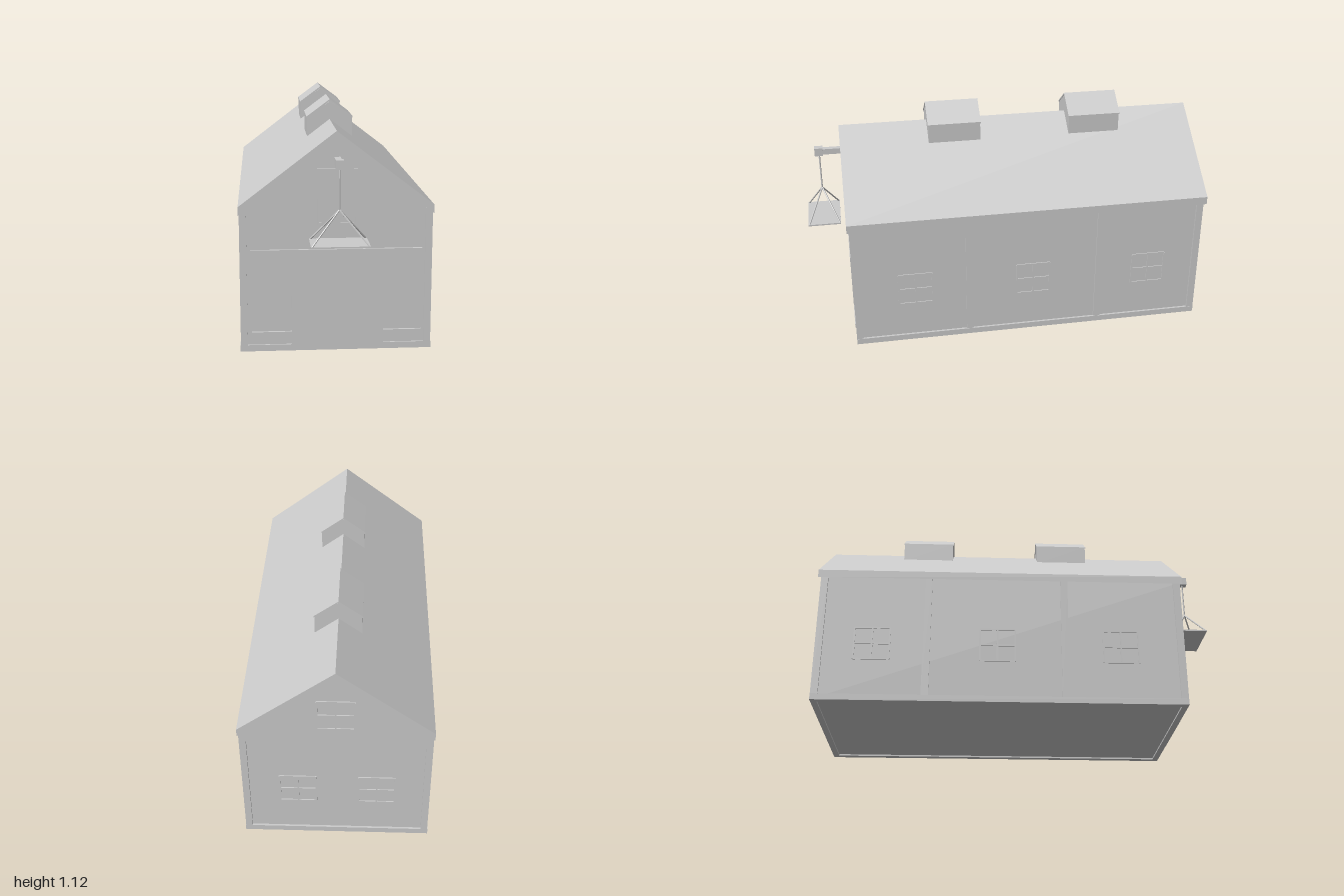
import * as THREE from 'three';

const mat = new THREE.MeshStandardMaterial({ color: 0xcccccc, flatShading: true });
const FRONT = 0.8, BACK = -0.985, HALF = 0.443, MID = (FRONT + BACK) / 2, LEN = FRONT - BACK;

function add(parent, name, geometry) {
  const mesh = new THREE.Mesh(geometry, mat);
  mesh.name = name;
  parent.add(mesh);
  return mesh;
}

// Box given by its lower and upper limits
function box(parent, name, x0, x1, y0, y1, z0, z1) {
  const mesh = add(parent, name, new THREE.BoxGeometry(x1 - x0, y1 - y0, z1 - z0));
  mesh.position.set((x0 + x1) / 2, (y0 + y1) / 2, (z0 + z1) / 2);
  return mesh;
}

// Outline in x and y, extruded from z0 to z1
function prism(parent, name, points, z0, z1) {
  const shape = new THREE.Shape(points.map(([x, y]) => new THREE.Vector2(x, y)));
  const mesh = add(parent, name, new THREE.ExtrudeGeometry(shape, { depth: z1 - z0, bevelEnabled: false }));
  mesh.position.z = z0;
  return mesh;
}

// Thin rod between two points
function rod(parent, name, a, b, radius) {
  const from = new THREE.Vector3(...a), to = new THREE.Vector3(...b);
  const dir = to.clone().sub(from);
  const mesh = add(parent, name, new THREE.CylinderGeometry(radius, radius, dir.length(), 6));
  mesh.position.copy(from).add(to).multiplyScalar(0.5);
  mesh.quaternion.setFromUnitVectors(new THREE.Vector3(0, 1, 0), dir.normalize());
}

// Four-pane window facing +z, built around its centre
function makeWindow(name, w, h) {
  const g = new THREE.Group();
  g.name = name;
  const t = 0.004, d = 0.005;
  for (const k of [-1, 0, 1]) {
    const x = k * w / 2, y = k * h / 2;
    box(g, 'windowUpright', x - t, x + t, -h / 2, h / 2, -d, d);
    box(g, 'windowRail', -w / 2, w / 2, y - t, y + t, -d, d);
  }
  return g;
}

export function createModel() {
  const model = new THREE.Group();
  model.name = 'barn';

  // Walls
  const wx = HALF - 0.011;
  prism(model, 'walls', [[-wx, 0.008], [wx, 0.008], [wx, 0.654], [0, 0.986], [-wx, 0.654]], BACK + 0.01, FRONT - 0.008);

  // Sill around the base
  for (const s of [-1, 1]) {
    const x = s * (HALF - 0.015);
    box(model, 'sideSill', x - 0.015, x + 0.015, 0, 0.03, BACK, FRONT);
  }
  box(model, 'frontSill', -HALF, HALF, 0, 0.03, FRONT - 0.03, FRONT);
  box(model, 'backSill', -HALF, HALF, 0, 0.03, BACK, BACK + 0.03);

  // Posts and side windows
  for (const s of [-1, 1]) {
    const outer = s * (HALF - 0.002), inner = s * (HALF - 0.034);
    for (const [z0, z1] of [[0.765, FRONT], [0.2, 0.235], [-0.47, -0.435], [BACK, -0.95]]) {
      box(model, 'post', Math.min(outer, inner), Math.max(outer, inner), 0.03, 0.67, z0, z1);
    }
    for (const z of [0.49, -0.11, -0.715]) {
      const win = makeWindow('sideWindow', 0.17, 0.165);
      win.position.set(s * wx, 0.295, z);
      win.rotation.y = s * Math.PI / 2;
      model.add(win);
    }
  }

  // Back gable above the recessed lower wall
  const gx = HALF - 0.002;
  prism(model, 'backGable', [[-gx, 0.6], [gx, 0.6], [gx, 0.65], [0, 0.986], [-gx, 0.65]], BACK, BACK + 0.02);
  for (const [x, y, z] of [[0.18, 0.29, BACK + 0.01], [-0.19, 0.29, BACK + 0.01], [0, 0.77, BACK]]) {
    const win = makeWindow('backWindow', 0.17, 0.16);
    win.position.set(x, y, z);
    win.rotation.y = Math.PI;
    model.add(win);
  }

  // Roof with a vertical eave edge
  const rx = 0.445;
  prism(model, 'roof', [[-rx, 0.645], [0, 0.982], [rx, 0.645], [rx, 0.685], [0, 1.025], [-rx, 0.685]], -1, 0.81);

  // Ridge vents
  for (const z of [0.238, -0.482]) {
    const v = 0.113;
    prism(model, 'ridgeVent', [[-0.11, 0.93], [0.11, 0.93], [0.11, 1.04], [0, 1.11], [-0.11, 1.04]], z - 0.131, z + 0.131);
    prism(model, 'ridgeVentRoof', [[-v, 1.03], [0, 1.113], [v, 1.03], [v, 1.038], [0, 1.122], [-v, 1.038]], z - 0.134, z + 0.134);
  }

  // Sliding door with its upper and lower tracks
  const zd = FRONT + 0.004;
  box(model, 'barnDoor', -0.205, 0.218, 0.005, 0.465, FRONT - 0.03, zd);
  box(model, 'upperTrack', -0.39, 0.395, 0.46, 0.482, FRONT - 0.03, zd);
  box(model, 'lowerTrack', -0.39, -0.2, 0.07, 0.093, FRONT - 0.03, zd);
  box(model, 'lowerTrack', 0.21, 0.395, 0.07, 0.093, FRONT - 0.03, zd);

  // Loft door and its frame
  box(model, 'loftDoor', -0.08, 0.089, 0.605, 0.846, FRONT - 0.03, FRONT - 0.004);
  for (const x of [-0.083, 0.092]) box(model, 'loftDoorJamb', x - 0.004, x + 0.004, 0.598, 0.853, FRONT - 0.03, FRONT);
  for (const y of [0.602, 0.849]) box(model, 'loftDoorRail', -0.083, 0.092, y - 0.004, y + 0.004, FRONT - 0.03, FRONT);

  // Hoist beam, rope and hanging platform
  const hoist = new THREE.Group();
  hoist.name = 'hoist';
  hoist.position.set(0.004, 0, 0.917);
  model.add(hoist);
  box(hoist, 'hoistBeam', -0.014, 0.014, 0.877, 0.906, -0.14, 0);
  box(hoist, 'hoistHead', -0.018, 0.018, 0.872, 0.913, -0.02, 0.022);
  rod(hoist, 'rope', [0, 0.88, 0], [0, 0.688, 0], 0.004);
  for (const sx of [-1, 1]) for (const sz of [-1, 1]) {
    rod(hoist, 'sling', [0, 0.69, 0], [sx * 0.127, 0.54, sz * 0.078], 0.004);
  }
  box(hoist, 'platform', -0.131, 0.131, 0.536, 0.543, -0.082, 0.082);

  return model;
}
